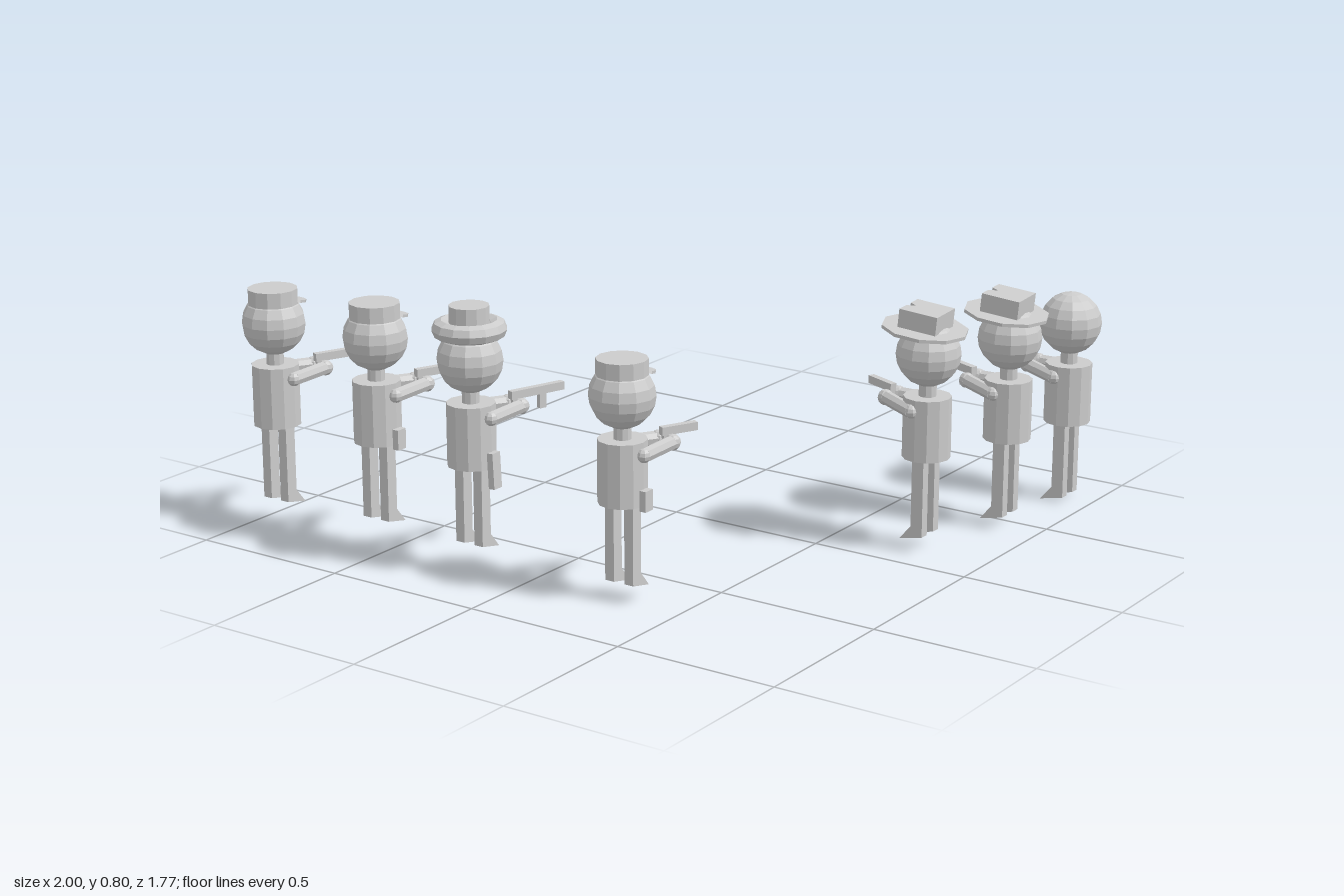
import * as THREE from 'three';

const mat = new THREE.MeshStandardMaterial({ color: 0xcccccc, flatShading: true, side: THREE.DoubleSide });
const UP = new THREE.Vector3(0, 1, 0);

function add(parent, name, geo, x = 0, y = 0, z = 0) {
  const m = new THREE.Mesh(geo, mat);
  m.name = name;
  m.position.set(x, y, z);
  parent.add(m);
  return m;
}
const cyl = (r, h, n = 12, r2 = r) => new THREE.CylinderGeometry(r, r2, h, n);
const box = (w, h, d) => new THREE.BoxGeometry(w, h, d);

// Straight limb between two points
function limb(parent, name, a, b, r) {
  const p = new THREE.Vector3(...a), q = new THREE.Vector3(...b), d = q.clone().sub(p);
  const m = add(parent, name, cyl(r, d.length(), 8));
  m.position.copy(p).add(q).multiplyScalar(0.5);
  m.quaternion.setFromUnitVectors(UP, d.normalize());
}

// Leg and wedge foot in one side profile (shape x runs forward), extruded across the leg
function legGeometry() {
  const s = new THREE.Shape([[-0.019, 0.016], [0.056, 0], [0.019, 0.045], [0.019, 0.26], [-0.019, 0.26]]
    .map(p => new THREE.Vector2(...p)));
  const g = new THREE.ExtrudeGeometry(s, { depth: 0.03, bevelEnabled: false });
  return g.translate(0, 0, -0.015).rotateY(Math.PI / 2);
}

// Headgear
const hats = {
  none() {},
  cap(f) {
    const hat = new THREE.Group();
    hat.name = 'cap';
    add(hat, 'capCrown', cyl(0.074, 0.055), 0, 0.638, 0);
    const visor = add(hat, 'visor', new THREE.CylinderGeometry(0.07, 0.07, 0.008, 8, 1, false, Math.PI / 2, Math.PI), 0, 0.625, -0.042);
    visor.rotation.x = -0.2;
    f.add(hat);
  },
  roundHat(f) {
    const hat = new THREE.Group();
    hat.name = 'roundHat';
    add(hat, 'rolledBrim', new THREE.TorusGeometry(0.08, 0.028, 8, 14).rotateX(Math.PI / 2), 0, 0.65, 0);
    add(hat, 'hatCrown', cyl(0.058, 0.1), 0, 0.668, 0);
    f.add(hat);
  },
  wideHat(f) {
    const hat = new THREE.Group();
    hat.name = 'wideHat';
    hat.position.set(0, 0.634, -0.014);
    hat.rotation.set(0.1, 0.08, 0);
    add(hat, 'wideBrim', cyl(0.127, 0.01, 10));
    // Crown with a small pinch at the front edge
    const s = new THREE.Shape([[-0.06, -0.06], [0.06, -0.06], [0.06, 0.06], [0.015, 0.06], [0, 0.035], [-0.015, 0.06], [-0.06, 0.06]]
      .map(p => new THREE.Vector2(...p)));
    add(hat, 'pinchedCrown', new THREE.ExtrudeGeometry(s, { depth: 0.06, bevelEnabled: false }).rotateX(-Math.PI / 2));
    f.add(hat);
  }
};

// Gun held in both hands, aimed from the hands to a tip (x, z)
function addGun(f, tip, long) {
  const start = [0.035, -0.135], dx = tip[0] - start[0], dz = tip[1] - start[1];
  const len = Math.hypot(dx, dz);
  const gun = new THREE.Group();
  gun.name = long ? 'longGun' : 'pistol';
  gun.position.set(start[0], 0.427, start[1]);
  gun.rotation.y = Math.atan2(-dx, -dz);
  add(gun, 'barrel', box(0.02, 0.024, len), 0, 0, -len / 2);
  add(gun, 'grip', box(0.018, 0.045, 0.022), 0, -0.025, -0.015);
  if (long) add(gun, 'magazine', box(0.016, 0.05, 0.022), 0, -0.03, -len * 0.6);
  f.add(gun);
}

// One figure, facing -z with its feet at y = 0
function figure({ hat, tip = [0.078, -0.237], holster = 0, long = false }) {
  const f = new THREE.Group();
  for (const s of [-1, 1]) add(f, 'leg', legGeometry(), s * 0.033, 0, 0);
  add(f, 'torso', cyl(0.071, 0.185), 0, 0.3425, 0);
  add(f, 'neck', cyl(0.026, 0.06, 10), 0, 0.455, 0);
  add(f, 'head', new THREE.SphereGeometry(0.095, 12, 10), 0, 0.56, 0);

  // Arms and hands: one straight forward, one crossing to the grip
  const arms = [
    [[0.076, 0.4, 0.005], [0.071, 0.4, -0.14]],
    [[-0.066, 0.4, -0.015], [0.016, 0.4, -0.15]]
  ];
  for (const [a, b] of arms) {
    limb(f, 'arm', a, b, 0.021);
    add(f, 'shoulder', new THREE.SphereGeometry(0.021, 8, 6), ...a);
    add(f, 'hand', new THREE.SphereGeometry(0.024, 8, 6), ...b);
  }
  addGun(f, tip, long);
  if (holster) {
    const h = add(f, 'holster', box(0.02, holster, 0.035), 0.08, 0.3 - holster / 2, 0);
    if (long) h.rotation.z = 0.05;
  }
  hats[hat](f);
  return f;
}

export function createModel() {
  const model = new THREE.Group();
  const Q = Math.PI / 2;
  const cast = [
    { name: 'capFigure1', at: [-0.908, 0.07, 0.77], hat: 'cap' },
    { name: 'capFigure2', at: [-0.51, 0.09, 0.78], hat: 'cap', holster: 0.06 },
    { name: 'roundHatFigure', at: [-0.168, 0.08, 0.775], hat: 'roundHat', holster: 0.105, long: true, tip: [0.094, -0.305] },
    { name: 'capFigure3', at: [0.307, 0.04, 0.705], hat: 'cap', holster: 0.06, tip: [0.084, -0.237] },
    { name: 'wideHatFigure1', at: [0.783, 0.034, -0.145], turn: Q, hat: 'wideHat', holster: 0.05 },
    { name: 'wideHatFigure2', at: [0.877, 0.025, -0.46], turn: Q, hat: 'wideHat', holster: 0.05 },
    { name: 'bareheadedFigure', at: [0.905, 0, -0.792], turn: Q, hat: 'none' }
  ];
  for (const c of cast) {
    const f = figure(c);
    f.name = c.name;
    f.position.set(...c.at);
    f.rotation.y = c.turn || 0;
    model.add(f);
  }
  return model;
}
